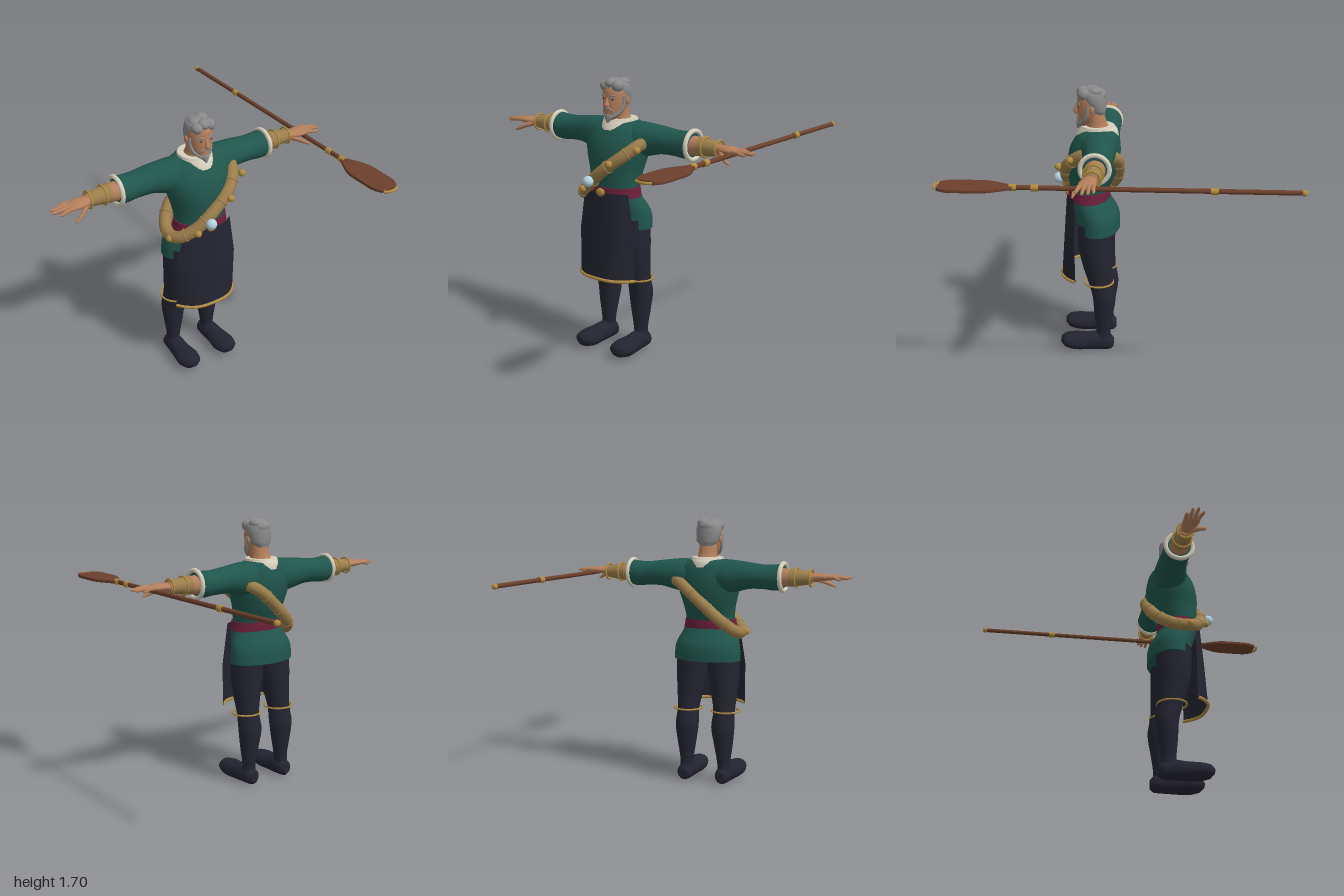
import * as THREE from 'three';

const V = (x, y, z) => new THREE.Vector3(x, y, z);
const mat = (name, color, side = THREE.FrontSide) => {
  const m = new THREE.MeshStandardMaterial({ color, side });
  m.name = name;
  return m;
};

// Smooth skin over elliptical cross-sections. Rows are [position on axis, centre a, centre b, radius a, radius b];
// (a, b) is (x, z) for axis y, (y, z) for axis x and (x, y) for axis z.
function loft(rows, axis = 'y', n = 28, steps = 4) {
  const rings = [];
  for (let i = 0; i < rows.length - 1; i++) {
    const [p, q, r, s] = [rows[Math.max(i - 1, 0)], rows[i], rows[i + 1], rows[Math.min(i + 2, rows.length - 1)]];
    for (let k = 0; k < steps; k++) {
      const t = k / steps;
      rings.push(q.map((v, c) => v + 0.5 * t * (r[c] - p[c] + t * (2 * p[c] - 5 * v + 4 * r[c] - s[c]
        + t * (3 * (v - r[c]) + s[c] - p[c])))).map((v, c) => (c ? v : q[0] + t * (r[0] - q[0]))));
    }
  }
  rings.push(rows[rows.length - 1]);
  const at = ([t, a, b, ra, rb], j) => {
    const c = Math.cos(2 * Math.PI * j / n), s = Math.sin(2 * Math.PI * j / n);
    if (axis === 'y') return [a + ra * s, t, b + rb * c];
    return axis === 'x' ? [t, a + ra * c, b + rb * s] : [a + ra * c, b + rb * s, t];
  };
  const pos = [], idx = [];
  rings.forEach((r) => { for (let j = 0; j < n; j++) pos.push(...at(r, j)); });
  for (let i = 0; i < rings.length - 1; i++) for (let j = 0; j < n; j++) {
    const k = (j + 1) % n, a = i * n + j, b = i * n + k;
    idx.push(a, b, a + n, b, b + n, a + n);
  }
  [rings[0], rings[rings.length - 1]].forEach((r, end) => {
    const base = pos.length / 3;
    for (let j = 0; j < n; j++) pos.push(...at(r, j));
    pos.push(...at([r[0], r[1], r[2], 0, 0], 0));
    for (let j = 0; j < n; j++) {
      const k = (j + 1) % n;
      idx.push(base + n, base + (end ? j : k), base + (end ? k : j));
    }
  });
  const g = new THREE.BufferGeometry();
  g.setAttribute('position', new THREE.Float32BufferAttribute(pos, 3));
  g.setIndex(idx);
  g.computeVertexNormals();
  return g;
}

const tube = (pts, r, closed = false, seg = 24) =>
  new THREE.TubeGeometry(new THREE.CatmullRomCurve3(pts, closed), seg, r, 12, closed);

export function createModel() {
  const root = new THREE.Group();
  root.name = 'oarsman';
  const skin = mat('skin', 0xb47f5c), green = mat('green cloth', 0x20564c), navy = mat('navy cloth', 0x242431, THREE.DoubleSide);
  const tan = mat('tan leather', 0x9b7e4c), gold = mat('gold', 0xb08c40), wood = mat('wood', 0x6c402c);
  const maroon = mat('maroon sash', 0x6b1f39), grey = mat('grey hair', 0x8a8a8b);
  const cream = mat('cream trim', 0xd6cfbd), blue = mat('pale blue orb', 0xb4d3e2);

  const add = (parent, name, geo, m, x = 0, y = 0, z = 0) => {
    const mesh = new THREE.Mesh(geo, m);
    mesh.name = name;
    mesh.position.set(x, y, z);
    parent.add(mesh);
    return mesh;
  };
  const ball = (parent, name, m, x, y, z, rx, ry = rx, rz = rx) => {
    const b = add(parent, name, new THREE.SphereGeometry(1, 20, 14), m, x, y, z);
    b.scale.set(rx, ry, rz);
    return b;
  };

  // Tunic, sash and collar
  add(root, 'tunic', loft([[0.80, 0, 0.18, 0.222, 0.135], [0.9, 0, 0.185, 0.214, 0.134], [1.0, 0, 0.228, 0.172, 0.125],
    [1.05, 0, 0.232, 0.16, 0.12], [1.15, 0, 0.215, 0.172, 0.146], [1.25, 0, 0.203, 0.2, 0.16], [1.33, 0, 0.192, 0.21, 0.152],
    [1.4, 0, 0.178, 0.19, 0.125], [1.435, 0, 0.17, 0.13, 0.1], [1.45, 0, 0.17, 0.08, 0.08]], 'y', 40), green);
  add(root, 'sash', loft([[0.998, 0, 0.235, 0.178, 0.13], [1.028, 0, 0.235, 0.172, 0.13], [1.058, 0, 0.235, 0.168, 0.127]], 'y', 40), maroon);
  ball(root, 'buckle', gold, 0, 1.03, 0.37, 0.032, 0.025, 0.014);
  add(root, 'collar', loft([[1.395, 0, 0.18, 0.108, 0.13], [1.43, 0, 0.175, 0.106, 0.117], [1.455, 0, 0.175, 0.1, 0.1]]), cream);

  // Apron wrapped around the front of the legs
  const apronPoint = (u, t) => V(u * (0.165 + 0.045 * Math.min(1, t * 2)), 1.03 - 0.53 * t,
    0.37 + 0.04 * t - (0.055 + 0.045 * t) * Math.pow(Math.abs(u), 3));
  const apron = new THREE.PlaneGeometry(2, 1, 24, 16), ap = apron.attributes.position;
  for (let i = 0; i < ap.count; i++) {
    const p = apronPoint(ap.getX(i), 0.5 - ap.getY(i));
    ap.setXYZ(i, p.x, p.y, p.z);
  }
  apron.computeVertexNormals();
  add(root, 'apron', apron, navy);
  add(root, 'apronHem', tube(Array.from({ length: 17 }, (_, i) => apronPoint(i / 8 - 1, 1)), 0.01, false, 40), gold);

  // Head
  const head = new THREE.Group();
  head.name = 'head';
  root.add(head);
  add(head, 'neck', loft([[1.42, 0, 0.17, 0.075, 0.075], [1.47, 0, 0.185, 0.06, 0.063], [1.55, 0, 0.2, 0.058, 0.06]]), skin);
  add(head, 'face', loft([[1.452, 0, 0.265, 0.02, 0.025], [1.475, 0, 0.25, 0.044, 0.05], [1.51, 0, 0.232, 0.062, 0.07],
    [1.56, 0, 0.222, 0.073, 0.08], [1.62, 0, 0.218, 0.074, 0.082], [1.66, 0, 0.215, 0.06, 0.07]]), skin);
  add(head, 'nose', loft([[1.53, 0, 0.303, 0.014, 0.014], [1.542, 0, 0.305, 0.016, 0.019], [1.57, 0, 0.3, 0.01, 0.012],
    [1.59, 0, 0.295, 0.008, 0.008]], 'y', 12), skin);
  add(head, 'hair', loft([[1.525, 0, 0.17, 0.045, 0.038], [1.55, 0, 0.182, 0.066, 0.056], [1.6, 0, 0.195, 0.079, 0.07],
    [1.64, 0, 0.205, 0.08, 0.077], [1.67, 0, 0.21, 0.068, 0.07], [1.69, 0, 0.215, 0.03, 0.03]]), grey);
  [[-0.04, 1.648, 0.258, 0.036, 0.032, 0.04], [0.0, 1.665, 0.262, 0.038, 0.03, 0.04], [0.042, 1.652, 0.255, 0.036, 0.036, 0.04],
    [-0.02, 1.67, 0.215, 0.045, 0.025, 0.045], [0.03, 1.668, 0.19, 0.042, 0.028, 0.045], [0, 1.645, 0.155, 0.05, 0.035, 0.03]]
    .forEach((w) => ball(head, 'hairWave', grey, ...w));
  add(head, 'goatee', loft([[1.435, 0, 0.3, 0.004, 0.005], [1.455, 0, 0.288, 0.02, 0.018], [1.478, 0, 0.28, 0.032, 0.026],
    [1.493, 0, 0.28, 0.024, 0.02]], 'y', 16), grey);
  for (const s of [1, -1]) {
    const side = new THREE.Group();
    side.name = s > 0 ? 'leftFace' : 'rightFace';
    side.scale.x = s;
    head.add(side);
    ball(side, 'ear', skin, 0.078, 1.565, 0.205, 0.009, 0.024, 0.015);
    add(side, 'beard', tube([V(0.072, 1.59, 0.232), V(0.069, 1.545, 0.235), V(0.056, 1.5, 0.255), V(0.022, 1.47, 0.287)], 0.012), grey);
    add(side, 'moustache', tube([V(0, 1.524, 0.308), V(0.02, 1.519, 0.3), V(0.032, 1.5, 0.285), V(0.028, 1.48, 0.285)], 0.006), grey);
    add(side, 'eyebrow', tube([V(0.012, 1.588, 0.3), V(0.032, 1.598, 0.293), V(0.055, 1.59, 0.275)], 0.005), grey);
    ball(side, 'eye', navy, 0.03, 1.576, 0.291, 0.011, 0.005, 0.005);
  }

  // Limbs, built for the left and mirrored
  for (const s of [1, -1]) {
    const arm = new THREE.Group(), leg = new THREE.Group();
    arm.name = s > 0 ? 'leftArm' : 'rightArm';
    leg.name = s > 0 ? 'leftLeg' : 'rightLeg';
    arm.scale.x = leg.scale.x = s;
    root.add(arm, leg);
    const hoop = (name, m, x, r, t) => { add(arm, name, new THREE.TorusGeometry(r, t, 10, 32), m, x, 1.345, 0.152).rotation.y = Math.PI / 2; };

    add(arm, 'sleeve', loft([[0.06, 1.34, 0.165, 0.1, 0.1], [0.15, 1.338, 0.165, 0.105, 0.11], [0.22, 1.342, 0.158, 0.096, 0.1],
      [0.3, 1.347, 0.15, 0.082, 0.09], [0.4, 1.342, 0.148, 0.076, 0.084], [0.46, 1.34, 0.148, 0.08, 0.086],
      [0.515, 1.345, 0.15, 0.082, 0.085]], 'x'), green);
    hoop('cuff', cream, 0.514, 0.083, 0.014);
    add(arm, 'forearm', loft([[0.5, 1.342, 0.15, 0.058, 0.06], [0.57, 1.343, 0.15, 0.052, 0.054], [0.7, 1.345, 0.155, 0.033, 0.038]], 'x'), skin);
    add(arm, 'bracer', loft([[0.56, 1.344, 0.15, 0.056, 0.058], [0.62, 1.345, 0.152, 0.049, 0.051], [0.69, 1.345, 0.154, 0.04, 0.044]], 'x'), tan);
    hoop('bracerRing', gold, 0.6, 0.057, 0.006);
    hoop('wristRing', gold, 0.692, 0.05, 0.006);
    add(arm, 'palm', loft([[0.68, 1.345, 0.157, 0.028, 0.034], [0.73, 1.35, 0.165, 0.024, 0.044], [0.78, 1.352, 0.168, 0.022, 0.05],
      [0.82, 1.35, 0.168, 0.014, 0.045], [0.83, 1.35, 0.168, 0.006, 0.035]], 'x'), skin);
    [[0.885, 0.126, 1.342, 0.132], [0.925, 0.152, 1.349, 0.156], [0.935, 0.183, 1.35, 0.18], [0.905, 0.218, 1.347, 0.202]]
      .forEach(([x, z, y, z0]) => add(arm, 'finger', loft([[0.79, 1.352, z0, 0.013, 0.013], [0.84, 1.353, z0 + (z - z0) * 0.4, 0.012, 0.012],
        [x - 0.015, y, z, 0.009, 0.009], [x, y, z, 0.003, 0.003]], 'x', 12), skin));
    add(arm, 'thumb', loft([[0.7, 1.34, 0.175, 0.018, 0.02], [0.75, 1.325, 0.215, 0.016, 0.017], [0.79, 1.305, 0.238, 0.012, 0.012],
      [0.82, 1.29, 0.245, 0.005, 0.005]], 'x', 12), skin);

    add(leg, 'trouser', loft([[0.06, 0.135, 0.145, 0.042, 0.05], [0.13, 0.13, 0.145, 0.042, 0.046], [0.25, 0.128, 0.142, 0.06, 0.06],
      [0.37, 0.125, 0.138, 0.075, 0.073], [0.47, 0.125, 0.158, 0.068, 0.078], [0.56, 0.12, 0.175, 0.08, 0.09],
      [0.7, 0.11, 0.19, 0.1, 0.107], [0.86, 0.102, 0.19, 0.104, 0.11]]), navy);
    const foot = loft([[0.08, 0.132, 0.05, 0.028, 0.03], [0.1, 0.132, 0.052, 0.046, 0.05], [0.17, 0.133, 0.06, 0.054, 0.062],
      [0.25, 0.137, 0.056, 0.06, 0.058], [0.33, 0.138, 0.056, 0.072, 0.054], [0.39, 0.138, 0.06, 0.056, 0.042],
      [0.415, 0.138, 0.063, 0.025, 0.02]], 'z'), fp = foot.attributes.position;
    for (let i = 0; i < fp.count; i++) fp.setY(i, Math.max(fp.getY(i), 0));
    foot.computeVertexNormals();
    add(leg, 'shoe', foot, navy);
    add(leg, 'kneeRing', new THREE.TorusGeometry(0.09, 0.006, 8, 36), gold, 0.13, 0.473, 0.17).rotation.x = Math.PI / 2;
  }

  // Slanted padded strap around the torso, with bands, studs and an orb
  const path = [V(0, 1.145, 0.378), V(-0.11, 1.045, 0.355), V(-0.195, 0.985, 0.29), V(-0.2, 0.985, 0.18), V(-0.13, 1.06, 0.085),
    V(0, 1.18, 0.052), V(0.11, 1.275, 0.055), V(0.2, 1.325, 0.12), V(0.215, 1.33, 0.24), V(0.14, 1.255, 0.34)];
  add(root, 'strap', tube(path, 0.038, true, 96), tan);
  const curve = new THREE.CatmullRomCurve3(path, true);
  for (let i = 0; i < 10; i++) {
    const t = (i + 0.5) / 10, band = add(root, 'strapBand', new THREE.TorusGeometry(0.037, 0.005, 8, 24), tan);
    band.position.copy(curve.getPointAt(t));
    band.lookAt(band.position.clone().add(curve.getTangentAt(t)));
  }
  [[-0.232, 0.98, 0.27], [-0.115, 1.04, 0.395], [0.1, 1.22, 0.412], [0.238, 1.305, 0.325]]
    .forEach((p) => ball(root, 'stud', gold, ...p, 0.022));
  ball(root, 'orb', blue, -0.045, 1.1, 0.428, 0.033);

  // Oar lying across the left hand
  const oar = new THREE.Group();
  oar.name = 'oar';
  oar.position.set(0.8, 1.335, 0);
  root.add(oar);
  const rod = (name, m, z0, z1, r) => { add(oar, name, new THREE.CylinderGeometry(r, r, z1 - z0, 20), m, 0, 0, (z0 + z1) / 2).rotation.x = Math.PI / 2; };
  rod('shaft', wood, -0.985, 0.62, 0.0135);
  [-0.51, 0.447, 0.565].forEach((z) => rod('oarBand', gold, z - 0.02, z + 0.02, 0.019));
  ball(oar, 'oarKnob', gold, 0, 0, -0.98, 0.018);
  const blade = new THREE.Shape();
  blade.moveTo(-0.015, 0.57);
  blade.bezierCurveTo(-0.04, 0.63, -0.08, 0.68, -0.08, 0.75);
  blade.lineTo(-0.08, 0.88);
  blade.quadraticCurveTo(-0.08, 0.93, -0.05, 0.965);
  blade.lineTo(0.05, 0.965);
  blade.quadraticCurveTo(0.08, 0.93, 0.08, 0.88);
  blade.lineTo(0.08, 0.75);
  blade.bezierCurveTo(0.08, 0.68, 0.04, 0.63, 0.015, 0.57);
  const bladeGeo = new THREE.ExtrudeGeometry(blade, { depth: 0.01, bevelThickness: 0.005, bevelSize: 0.004, bevelSegments: 2, curveSegments: 12 });
  add(oar, 'blade', bladeGeo, wood, 0, 0.005, 0).rotation.x = Math.PI / 2;
  add(oar, 'bladeTip', tube([V(-0.05, 0, 0.973), V(-0.025, 0, 0.987), V(0, 0, 0.991), V(0.025, 0, 0.987), V(0.05, 0, 0.973)], 0.008), gold);

  return root;
}
